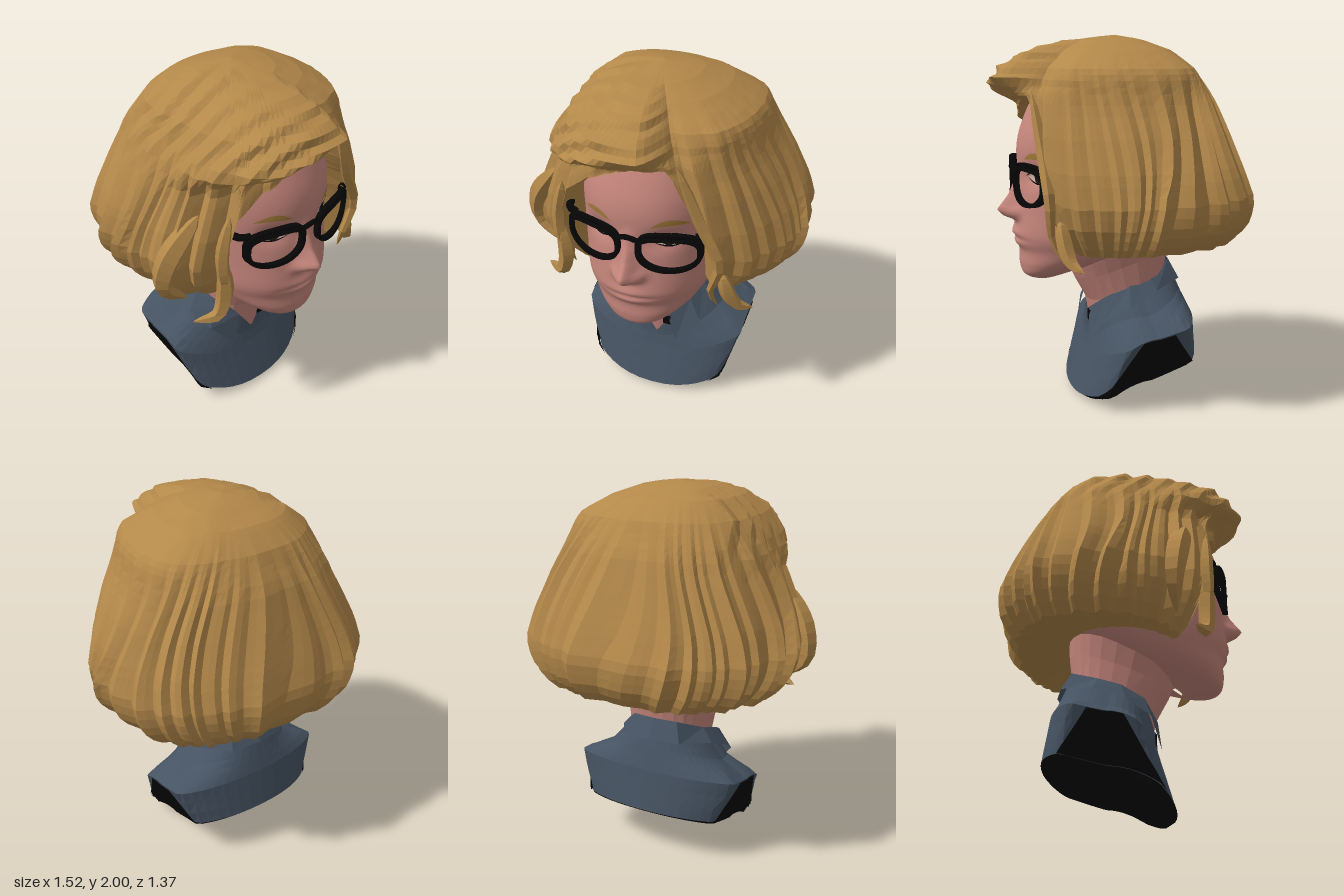
import * as THREE from 'three';

const mat = (name, color, side = THREE.FrontSide) => {
  const m = new THREE.MeshStandardMaterial({ color, side });
  m.name = name;
  return m;
};
const rad = THREE.MathUtils.degToRad, smooth = THREE.MathUtils.smoothstep, mix = THREE.MathUtils.lerp;
const spow = (v, e) => Math.sign(v) * Math.abs(v) ** e;
const bell = (v, s) => Math.exp(-((v / s) ** 2));
const hash = n => { const v = Math.sin(n * 127.1 + 3.7) * 43758.5453; return v - Math.floor(v); };
const CX = -0.03, GX = -0.02; // centre lines of the face and the glasses

// Piecewise linear lookup in rows whose first entry ascends
function key(table, k, col = 1) {
  if (k <= table[0][0]) return table[0][col];
  for (let i = 1; i < table.length; i++) {
    const a = table[i - 1], b = table[i];
    if (k <= b[0]) return mix(a[col], b[col], (k - a[0]) / (b[0] - a[0]));
  }
  return table[table.length - 1][col];
}

// Surface from a grid of points; i runs downwards, j runs anticlockwise seen from above
function grid(rows, cols, point, flat = true) {
  const pos = [], idx = [];
  for (let i = 0; i <= rows; i++) for (let j = 0; j <= cols; j++) pos.push(...point(i, j));
  for (let i = 0; i < rows; i++) for (let j = 0; j < cols; j++) {
    const a = i * (cols + 1) + j, b = a + cols + 1;
    idx.push(a, b, a + 1, b, b + 1, a + 1);
  }
  let g = new THREE.BufferGeometry();
  g.setAttribute('position', new THREE.Float32BufferAttribute(pos, 3));
  g.setIndex(idx);
  if (flat) g = g.toNonIndexed();
  g.computeVertexNormals();
  return g;
}

// Rounded ring: tilted from yF in front to yB behind
function ringPoint(yF, yB, hw, zF, zB, th) {
  const s = Math.sin(th), c = Math.cos(th), zc = mix(zB, zF, 0.45);
  return [CX + hw * spow(s, 0.9), mix(yB, yF, (c + 1) / 2), zc + (c > 0 ? zF - zc : zc - zB) * spow(c, 0.9)];
}

const HEAD = [ // yFront, yBack, half width, zFront, zBack
  [1.86, 1.86, 0.05, 0.1, 0], [1.82, 1.82, 0.24, 0.33, -0.2], [1.7, 1.7, 0.35, 0.45, -0.35],
  [1.55, 1.55, 0.39, 0.525, -0.42], [1.42, 1.42, 0.4, 0.56, -0.44], [1.25, 1.25, 0.395, 0.56, -0.42],
  [1.1, 1.1, 0.38, 0.57, -0.36], [0.95, 1, 0.36, 0.585, -0.28], [0.86, 0.95, 0.33, 0.56, -0.2],
  [0.78, 0.9, 0.28, 0.56, -0.1], [0.72, 0.86, 0.21, 0.54, 0], [0.69, 0.82, 0.12, 0.46, 0.08], [0.69, 0.78, 0.02, 0.35, 0.25]];
const NOSE = [[1.02, 0, 0.05], [1.05, 0.075, 0.05], [1.085, 0.11, 0.048], [1.16, 0.055, 0.04], [1.25, 0.02, 0.035], [1.34, 0, 0.035]];

function headGeometry() {
  const curve = f => new THREE.CatmullRomCurve3(HEAD.map(f), false, 'catmullrom', 0.5);
  const a = curve(r => new THREE.Vector3(r[0], r[1], r[2])), b = curve(r => new THREE.Vector3(r[3], r[4], 0));
  const rows = 110, cols = 72;
  return grid(rows, cols, (i, j) => {
    const p = a.getPoint(i / rows), q = b.getPoint(i / rows);
    const p3 = ringPoint(p.x, p.y, p.z, q.x, q.y, Math.PI * spow(j / cols * 2 - 1, 1.4));
    const [x, y] = p3, dx = x - CX, ax = Math.abs(dx);
    if (p3[2] > 0.25) { // nose, nostrils, eye sockets and lips
      p3[2] += key(NOSE, y) * bell(dx, key(NOSE, y, 2))
        + 0.03 * bell(ax - 0.06, 0.028) * bell(y - 1.07, 0.028)
        - 0.03 * bell(ax - 0.17, 0.08) * bell(y - 1.275, 0.055)
        + bell(dx, 0.1) * (0.014 * bell(y - 0.958, 0.022) + 0.012 * bell(y - 0.9, 0.022))
        - 0.012 * bell(dx, 0.12) * bell(y - 0.93, 0.01);
    }
    return p3;
  }, false);
}

const HAIR = [ // y, half width, zFront, zBack
  [0.84, 0.5, 0.38, -0.46], [0.88, 0.54, 0.41, -0.5], [0.96, 0.64, 0.47, -0.6], [1.05, 0.71, 0.53, -0.65],
  [1.17, 0.735, 0.56, -0.665], [1.32, 0.695, 0.575, -0.61], [1.5, 0.615, 0.57, -0.535], [1.68, 0.525, 0.55, -0.46],
  [1.83, 0.42, 0.47, -0.365], [1.92, 0.31, 0.36, -0.26], [1.975, 0.18, 0.22, -0.13], [2, 0, 0, 0]];
const HEM = [ // angle from the front, lower edge of the hair
  [-180, 0.94], [-120, 0.93], [-70, 0.91], [-50, 0.89], [-44, 0.88], [-40, 0.96], [-38.5, 1.2], [-37, 1.43], [-27, 1.54],
  [-10, 1.63], [0, 1.66], [12, 1.69], [20, 1.69], [23, 1.55], [28, 1.42], [32, 1.2], [34, 0.96], [38, 0.89], [50, 0.9], [80, 0.92], [180, 0.94]];
const SWEEP = [[-180, 0.2], [-120, 0.4], [-75, 1], [15, 1], [26, 0.1], [120, 0.1], [180, 0.2]];
const FRINGE = [[-80, 0], [-50, 0.5], [-30, 0.9], [-10, 1], [10, 1], [24, 0]];
const SIDE = [[24, 0], [50, 1], [110, 1], [150, 0]]; // fuller side beyond the parting
const saw = v => { const f = v - Math.floor(v); return (f < 0.35 ? f / 0.35 : (1 - f) / 0.65) * (0.5 + hash(Math.floor(v))); };

function hairGeometry() {
  const angles = [-41, -39.2, -38.5, -37.8, -37, 21.5, 23, 25, 28, 32, 34];
  for (let a = -180; a <= 180; a += 3) angles.push(a);
  angles.sort((p, q) => p - q);
  const topRows = 15, rows = 30;
  return grid(rows + 2, angles.length - 1, (i, j) => {
    const deg = angles[j];
    let y = i <= topRows ? 2 - 0.29 * (i / topRows) ** 1.7 : mix(1.71, key(HEM, deg), Math.min(1, (i - topRows) / (rows - topRows)));
    // Side and back locks lean to and fro as they fall
    const th = rad(deg + 4 * Math.sin(y * 5 + 2 * Math.sin(2 * rad(deg))) * smooth(Math.abs(deg), 45, 80));
    const s = Math.sin(th), c = Math.cos(th);
    const x = key(HAIR, y) * (c < 0 ? spow(s, 0.8) : s), z = (c < 0 ? key(HAIR, y, 3) * spow(c, 0.8) * -1 : key(HAIR, y, 2) * c);
    // Locks hang down at the sides and sweep across the top and fringe
    const w = smooth(y, 1.5, 1.8) * key(SWEEP, deg), wrapped = deg === 180 ? -180 : deg;
    const hang = 0.038 * (saw(wrapped / 10 + 0.4 * Math.sin(5 * rad(deg))) - 0.5) * (1 - smooth(y, 1.6, 1.96));
    const across = 0.026 * (saw((y - 0.4 * x - 0.8 * z + 0.03 * Math.sin(x * 9)) / 0.11) - 0.5);
    const low = 1.66 + 0.002 * Math.min(deg, 0);
    const d = mix(hang, across, w) + 0.22 * smooth(y, low, low + 0.12) * (1 - smooth(y, 1.95, 2)) * key(FRINGE, deg)
      + 0.1 * bell(y - 1.83, 0.11) * key(SIDE, deg);
    const inner = [1, 0.7, 0.35][Math.max(0, i - rows)];
    const k = (1 + d / 0.6) * inner;
    y += (1 - inner) * 0.09 + across * w * 0.6 * smooth(i, 1, 5) * (1 - smooth(i, topRows - 3, topRows + 3));
    return [x * k - 0.04 * smooth(y, 1.5, 2) * inner, y, z * k + 0.02 * smooth(y, 1.9, 2)];
  });
}

// Loose lock: a tube that tapers to both ends
function lockGeometry(points, r) {
  const n = 12, sides = 5, curve = new THREE.CatmullRomCurve3(points.map(p => new THREE.Vector3(...p)));
  const g = new THREE.TubeGeometry(curve, n, r, sides), pos = g.attributes.position, v = new THREE.Vector3();
  for (let i = 0; i < pos.count; i++) {
    const t = Math.floor(i / (sides + 1)) / n, c = curve.getPointAt(t);
    v.fromBufferAttribute(pos, i).sub(c).multiplyScalar(0.03 + Math.sin(Math.PI * t ** 0.8) ** 0.7).add(c);
    pos.setXYZ(i, v.x, v.y, v.z);
  }
  const f = g.toNonIndexed();
  f.computeVertexNormals();
  return f;
}

const SHIRT = [ // row, yFront, ySide, yBack, half width, zFront, zBack, front curve
  [0, 0.36, 0.64, 0.73, 0.21, 0.185, -0.29, 3], [1, 0.33, 0.51, 0.62, 0.33, 0.19, -0.33, 3],
  [2, 0.27, 0.435, 0.5, 0.48, 0.205, -0.37, 2], [3, 0.028, 0.19, 0.28, 0.39, 0.285, -0.41, 1.8],
  [4, 0.005, 0.165, 0.27, 0.38, 0.25, -0.4, 1.8], [5, 0.17, 0.17, 0.17, 0, 0.03, 0.03, 1]];
function shirtPoint(row, th, out = 0) {
  const [yF, yS, yB, hw, zF, zB, e] = [1, 2, 3, 4, 5, 6, 7].map(c => key(SHIRT, row, c));
  const s = Math.sin(th), c = Math.cos(th), zc = (zF + zB) / 2, h = (zF - zB) / 2;
  // Flat sides from the shoulder down
  const wide = spow(s, 0.9) * (1 + 0.18 * smooth(row, 1, 2) + 0.12 * smooth(row, 2, 3));
  const dip = c > 0 ? mix((1 - Math.abs(th) / (Math.PI / 2)) ** 2.2, c ** e, Math.min(row, 1)) : 0;
  return [-0.035 + (hw + out) * Math.max(-1, Math.min(1, wide)), c > 0 ? mix(yS, yF, dip) : mix(yS, yB, -c), zc + (h + out) * spow(c, 0.95)];
}

export function createModel() {
  const model = new THREE.Group();
  const skin = mat('skin', 0xc4857b), hair = mat('blond hair', 0xb3884a), cloth = mat('slate cloth', 0x465362, THREE.DoubleSide);
  const black = mat('black', 0x060606, THREE.DoubleSide), white = mat('eye white', 0xcdb0a8);
  const iris = mat('dark iris', 0x1c120d), brow = mat('eyebrow', 0xa0783a);
  const add = (name, geo, m) => { const o = new THREE.Mesh(geo, m); o.name = name; model.add(o); return o; };

  // Head and neck
  const head = add('head', headGeometry(), skin);
  const NECK = [[0.85, 1.05, 0.265, 0.33, -0.29], [0.68, 0.9, 0.23, 0.26, -0.28], [0.55, 0.75, 0.22, 0.19, -0.26],
    [0.45, 0.66, 0.21, 0.17, -0.24], [0.3, 0.6, 0.2, 0.14, -0.2]];
  add('neck', grid(4, 24, (i, j) => ringPoint(...NECK[i], Math.PI * (j / 12 - 1))), skin);

  // Eyes and eyebrows: thin plates laid on the face
  head.updateMatrixWorld();
  const ray = new THREE.Raycaster(), back = new THREE.Vector3(0, 0, -1);
  const faceZ = (x, y) => {
    ray.set(new THREE.Vector3(x, y, 2), back);
    const hit = ray.intersectObject(head)[0];
    return hit ? hit.point.z : 0.5;
  };
  const plate = (name, m, x, y, hw, top, bottom, lift) => {
    add(name, grid(4, 12, (i, j) => {
      const u = j / 6 - 1, px = x + u * hw, py = y + mix(top(u), bottom(u), i / 4);
      return [px, py, faceZ(px, py) + lift];
    }, false), m);
  };
  const arc = h => u => h * Math.sqrt(Math.max(0, 1 - u * u)), lid = h => u => h * (1 - u * u);
  for (const s of [-1, 1]) {
    const x = -0.018 + s * 0.187;
    plate('eyeWhite', white, x, 1.272, 0.08, lid(0.036), lid(-0.03), 0.004);
    plate('iris', iris, x - s * 0.006, 1.278, 0.034, arc(0.033), arc(-0.034), 0.007);
    plate('upperLid', black, x, 1.27, 0.095, lid(0.052), lid(0.034), 0.009);
    plate('lowerLid', black, x, 1.272, 0.085, lid(-0.028), lid(-0.035), 0.006);
    plate('eyebrow', brow, x, 1.36, 0.085, lid(0.042), lid(0.008), 0.005);
  }

  // Glasses: lenses flat at the brow and narrowing below
  const lensOutline = (cx, hw, up, down) => Array.from({ length: 40 }, (_, k) => {
    const a = k / 40 * Math.PI * 2, s = Math.sin(a);
    return new THREE.Vector2(cx + hw * spow(Math.cos(a), s > 0 ? 0.75 : 0.95), 1.238 + (s > 0 ? up * s ** 0.5 : -down * (-s) ** 0.9));
  });
  for (const s of [-1, 1]) {
    const shape = new THREE.Shape(lensOutline(s * 0.2, 0.158, 0.115, 0.112));
    shape.holes.push(new THREE.Path(lensOutline(s * 0.2, 0.135, 0.075, 0.092)));
    const g = new THREE.ExtrudeGeometry(shape, { depth: 0.03, bevelEnabled: false }), p = g.attributes.position;
    for (let i = 0; i < p.count; i++) p.setZ(i, p.getZ(i) + 0.572 - 0.75 * p.getX(i) ** 2);
    g.computeVertexNormals();
    add('lensFrame', g, black).position.x = GX;
    const temple = new THREE.CatmullRomCurve3([[0.32, 1.328, 0.495], [0.362, 1.33, 0.475], [0.385, 1.33, 0.4], [0.42, 1.31, 0.05]]
      .map(([x, y, z]) => new THREE.Vector3(GX + s * x, y, z)));
    add('temple', new THREE.TubeGeometry(temple, 16, 0.02, 6), black);
  }
  const bridge = new THREE.CatmullRomCurve3([[-0.06, 1.295, 0.585], [0, 1.318, 0.6], [0.06, 1.295, 0.585]].map(([x, y, z]) => new THREE.Vector3(GX + x, y, z)));
  add('bridge', new THREE.TubeGeometry(bridge, 8, 0.014, 6), black);

  // Hair with loose locks
  add('hair', hairGeometry(), hair);
  const LOCKS = [
    [0.032, [0.21, 1.72, 0.53], [0.32, 1.42, 0.5], [0.42, 1.18, 0.49], [0.37, 0.99, 0.47], [0.4, 0.87, 0.42]],
    [0.04, [0.42, 1.1, 0.44], [0.46, 0.95, 0.42], [0.5, 0.89, 0.4], [0.57, 0.86, 0.36]],
    [0.045, [-0.46, 1.2, 0.44], [-0.45, 0.97, 0.43], [-0.49, 0.87, 0.42], [-0.6, 0.85, 0.36]],
    [0.06, [-0.52, 1.45, 0.33], [-0.67, 1.22, 0.27], [-0.69, 1.06, 0.25], [-0.56, 0.93, 0.27]],
    [0.035, [-0.43, 1.46, 0.45], [-0.47, 1.25, 0.44], [-0.46, 1.08, 0.44], [-0.41, 0.93, 0.4]]];
  for (const [r, ...points] of LOCKS) add('looseLock', lockGeometry(points, r), hair);

  // Shirt, dark cut faces and collar
  const turn = j => Math.PI * (j / 24 - 1);
  add('shirt', grid(9, 48, (i, j) => shirtPoint(i / 3, turn(j))), cloth);
  add('underside', grid(4, 48, (i, j) => shirtPoint(3 + i / 2, turn(j))), black);
  for (const s of [-1, 1]) {
    add('armCut', grid(10, 20, (i, j) => {
      const v = i / 10, front = 17 + 27 * v + 8 * v ** 7, rear = 16 + 27 * v;
      return shirtPoint(2.02 + 0.98 * v, s * rad(90 + mix(-front, rear, j / 20)), 0.006);
    }), black);
  }
  const COLLAR = [ // from the nape forwards: upper edge, lower edge
    [[0, 0.77, -0.28], [0, 0.67, -0.34]], [[0.13, 0.765, -0.26], [0.17, 0.66, -0.31]], [[0.22, 0.7, -0.12], [0.28, 0.63, -0.14]],
    [[0.235, 0.66, 0], [0.31, 0.56, 0.02]], [[0.2, 0.6, 0.12], [0.265, 0.48, 0.15]], [[0.085, 0.51, 0.192], [0.14, 0.34, 0.208]]];
  add('collar', grid(1, 10, (i, j) => {
    const [x, y, z] = COLLAR[Math.abs(j - 5)][i];
    return [-0.05 + Math.sign(5 - j) * x, y, z];
  }), cloth);
  add('collarShadow', new THREE.BoxGeometry(0.045, 0.06, 0.008), black).position.set(0.03, 0.465, 0.19);
  return model;
}
